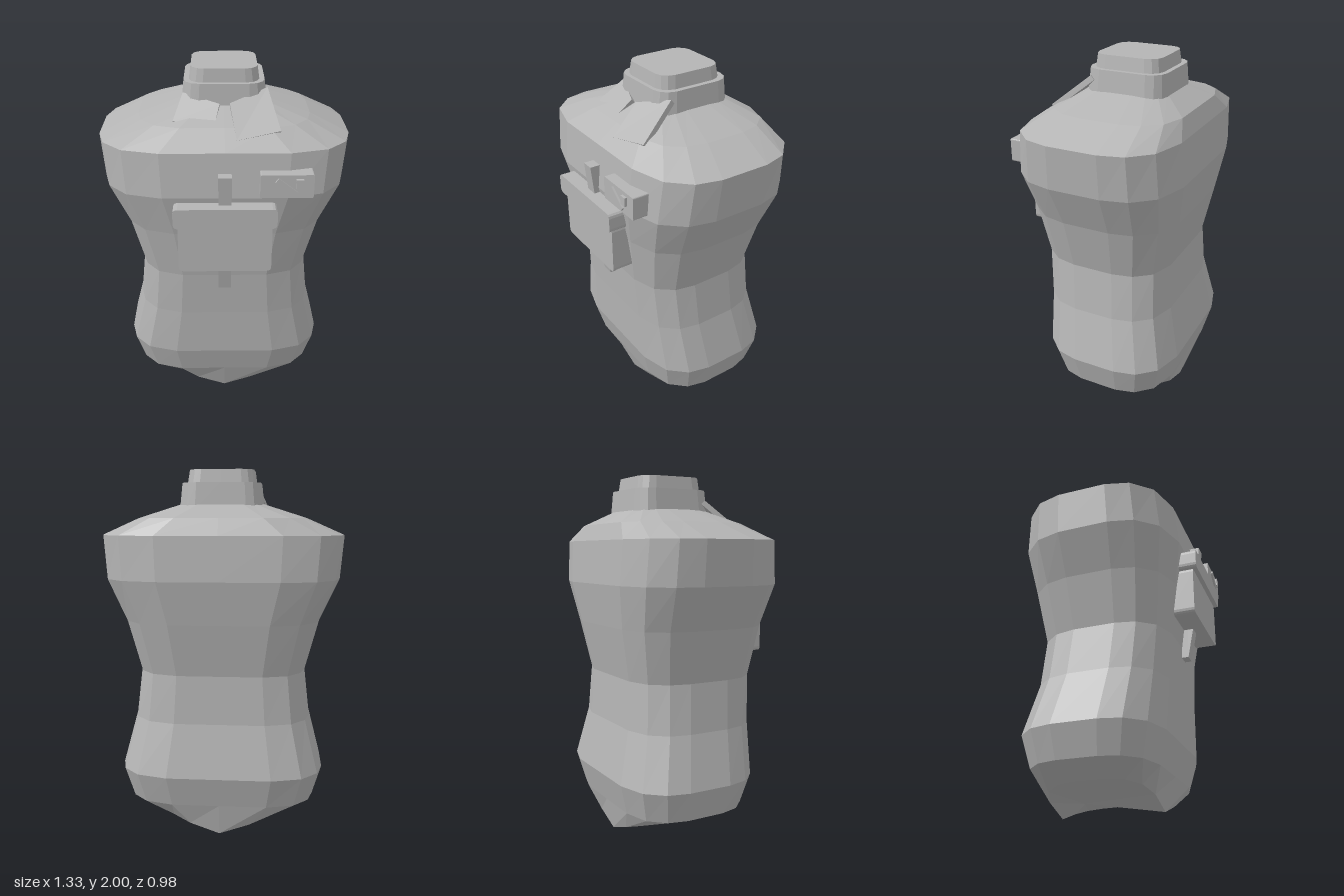
import * as THREE from 'three';

const grey = new THREE.MeshStandardMaterial({ color: 0xb4b4b4, flatShading: true });
grey.name = 'plainGrey';

// Quarter outlines as [x, z] ratios, from the side round to the front
const BODY = [[1, 0.32], [0.947, 0.63], [0.79, 0.88], [0.5, 1]];
const NECK = [[1, 0.6], [0.94, 0.8], [0.8, 0.94], [0.6, 1]];

// One closed ring of 18 points, with a centre point at front and back
function ring(quarter, y, halfW, front, back) {
  const mid = (front + back) / 2, halfD = (front - back) / 2;
  const mirror = [...quarter].reverse();
  const outline = [
    ...quarter, [0, 1], ...mirror.map(([x, z]) => [-x, z]),
    ...quarter.map(([x, z]) => [-x, -z]), [0, -1], ...mirror.map(([x, z]) => [x, -z]),
  ];
  return outline.map(([x, z]) => new THREE.Vector3(x * halfW, y, mid + z * halfD));
}

// Skin over rings from bottom to top, with optional fan caps
function loft(rings, bottom, top) {
  const pts = [];
  const n = rings[0].length;
  for (let k = 0; k < rings.length - 1; k++) {
    for (let i = 0; i < n; i++) {
      const j = (i + 1) % n;
      const a = rings[k][i], b = rings[k][j], c = rings[k + 1][i], d = rings[k + 1][j];
      pts.push(a, c, b, b, c, d);
    }
  }
  const last = rings[rings.length - 1];
  for (let i = 0; i < n; i++) {
    const j = (i + 1) % n;
    if (bottom) pts.push(bottom, rings[0][i], rings[0][j]);
    if (top) pts.push(top, last[j], last[i]);
  }
  const g = new THREE.BufferGeometry().setFromPoints(pts);
  g.computeVertexNormals();
  return g;
}

// Slab between four corners (anticlockwise from outside), thickened inward
function slab(corners, thick) {
  const outer = corners.map(c => new THREE.Vector3(...c));
  const normal = outer[1].clone().sub(outer[0]).cross(outer[2].clone().sub(outer[0])).normalize();
  const inner = outer.map(p => p.clone().addScaledVector(normal, -thick));
  const pts = [outer[0], outer[1], outer[2], outer[0], outer[2], outer[3],
    inner[0], inner[2], inner[1], inner[0], inner[3], inner[2]];
  for (let i = 0; i < 4; i++) {
    const j = (i + 1) % 4;
    pts.push(outer[i], inner[i], inner[j], outer[i], inner[j], outer[j]);
  }
  const g = new THREE.BufferGeometry().setFromPoints(pts);
  g.computeVertexNormals();
  return g;
}

// Upright plate with rounded corners, from z0 to z1
function plate(x0, x1, y0, y1, z0, z1, r) {
  const s = new THREE.Shape();
  s.moveTo(x0 + r, y0);
  s.lineTo(x1 - r, y0); s.quadraticCurveTo(x1, y0, x1, y0 + r);
  s.lineTo(x1, y1 - r); s.quadraticCurveTo(x1, y1, x1 - r, y1);
  s.lineTo(x0 + r, y1); s.quadraticCurveTo(x0, y1, x0, y1 - r);
  s.lineTo(x0, y0 + r); s.quadraticCurveTo(x0, y0, x0 + r, y0);
  return new THREE.ExtrudeGeometry(s, { depth: z1 - z0, bevelEnabled: false, curveSegments: 3 })
    .translate(0, 0, z0);
}

export function createModel() {
  const model = new THREE.Group();
  model.name = 'torso';
  const add = (name, geometry) => {
    const mesh = new THREE.Mesh(geometry, grey);
    mesh.name = name;
    model.add(mesh);
    return mesh;
  };

  // Body: [height, half width, front z, back z]
  const rings = [
    [0.1, 0.33, 0.2, -0.39],
    [0.18, 0.52, 0.26, -0.43],
    [0.35, 0.57, 0.305, -0.475],
    [0.64, 0.495, 0.315, -0.41],
    [0.905, 0.465, 0.33, -0.395],
    [1.19, 0.54, 0.37, -0.45],
    [1.42, 0.645, 0.413, -0.487],
    [1.655, 0.665, 0.388, -0.472],
    [1.745, 0.46, 0.27, -0.43],
    [1.825, 0.21, 0.125, -0.29],
  ].map(r => ring(BODY, ...r));
  // Lowest ring dips to a point at the middle of front and back
  rings[0].forEach(p => { p.y = 0.35 * Math.abs(p.x); });
  add('body', loft(rings, new THREE.Vector3(0, 0.075, -0.26)));

  // Neck in two steps
  add('collar', loft([
    ring(NECK, 1.79, 0.226, 0.14, -0.31),
    ring(NECK, 1.93, 0.212, 0.128, -0.3),
  ], null, new THREE.Vector3(0, 1.93, -0.085)));
  add('neck', loft([
    ring(NECK, 1.92, 0.186, 0.107, -0.275),
    ring(NECK, 2, 0.174, 0.098, -0.264),
  ], null, new THREE.Vector3(0, 2, -0.085)));

  // Folded collar tabs
  add('leftCollarTab', slab([
    [0.06, 1.7, 0.33], [0.285, 1.735, 0.29], [0.225, 1.9, 0.085], [0.028, 1.84, 0.165],
  ], 0.03));
  add('rightCollarTab', slab([
    [-0.265, 1.765, 0.22], [-0.05, 1.755, 0.24], [-0.025, 1.835, 0.16], [-0.215, 1.875, 0.09],
  ], 0.03));

  // Chest pouch with its flap
  add('pouch', plate(-0.245, 0.245, 1.015, 1.29, 0.33, 0.465, 0.025));
  add('pouchFlap', plate(-0.267, 0.267, 1.283, 1.393, 0.36, 0.49, 0.025));

  // Strap following the chest, extruded across x
  const side = new THREE.Shape([
    [-0.31, 0.845], [-0.365, 0.845], [-0.4, 1.02], [-0.44, 1.4], [-0.455, 1.55], [-0.38, 1.55],
  ].map(p => new THREE.Vector2(...p)));
  add('strap', new THREE.ExtrudeGeometry(side, { depth: 0.068, bevelEnabled: false })
    .translate(0, 0, -0.034).rotateY(Math.PI / 2));

  // Small chest badge with two raised details
  add('badge', plate(0.176, 0.446, 1.442, 1.567, 0.35, 0.457, 0.008));
  const bar = add('badgeBar', new THREE.BoxGeometry(0.125, 0.028, 0.02));
  bar.position.set(0.308, 1.503, 0.458);
  bar.rotation.z = -0.66;
  add('badgeButton', new THREE.BoxGeometry(0.038, 0.048, 0.024)).position.set(0.373, 1.522, 0.459);

  return model;
}
